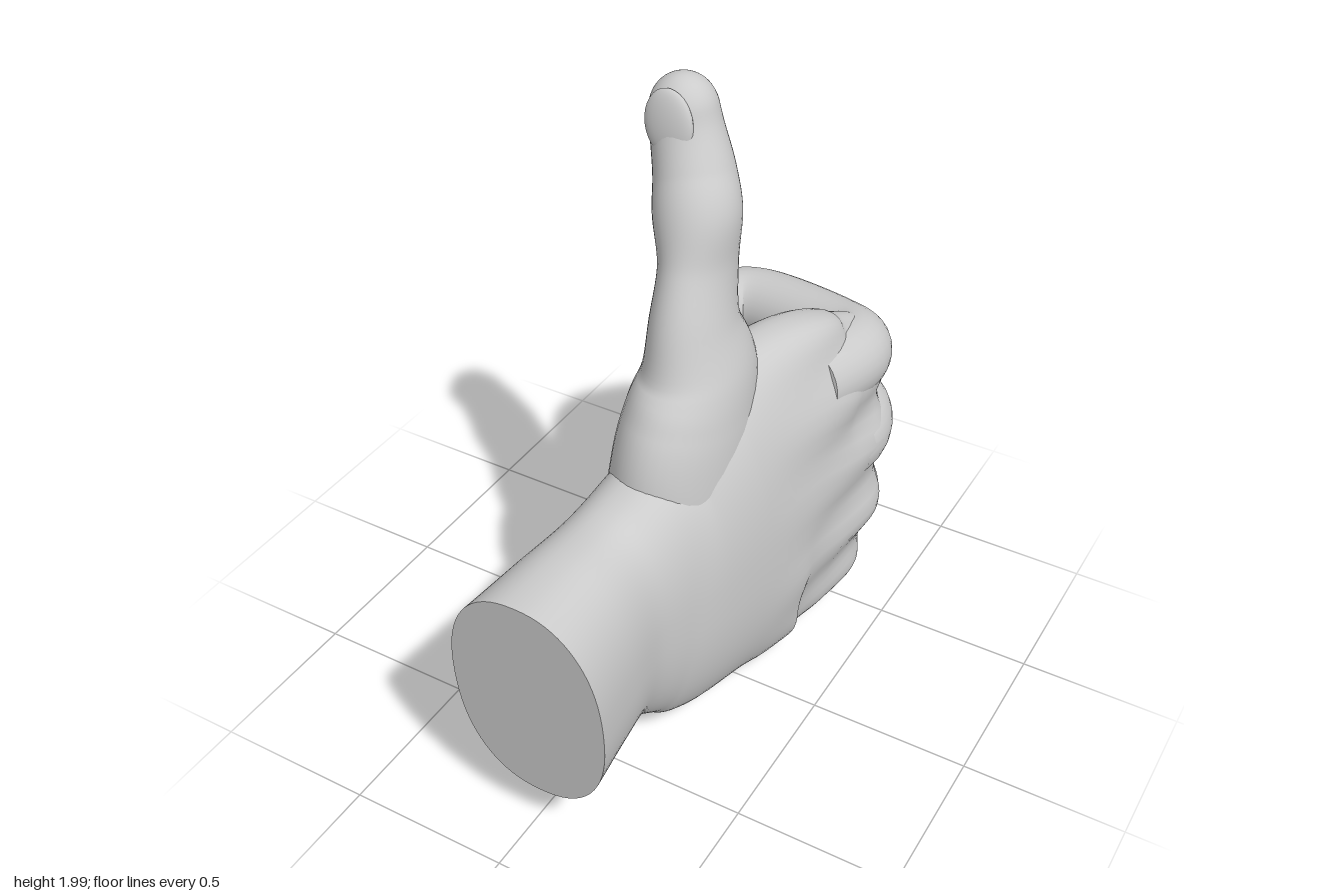
import * as THREE from 'three';

const skin = new THREE.MeshStandardMaterial({ color: 0xcccccc });
const Y = new THREE.Vector3(0, 1, 0);
const Z = new THREE.Vector3(0, 0, 1);

// Smooth interpolation through rows of numbers
function sampleRows(rows, t) {
  const f = t * (rows.length - 1);
  const i = Math.min(Math.floor(f), rows.length - 2);
  const s = f - i;
  const at = (k) => rows[Math.min(Math.max(k, 0), rows.length - 1)];
  return rows[i].map((p1, c) => {
    const p0 = at(i - 1)[c], p2 = at(i + 1)[c], p3 = at(i + 2)[c];
    return 0.5 * (2 * p1 + (p2 - p0) * s + (2 * p0 - 5 * p1 + 4 * p2 - p3) * s * s
      + (3 * p1 - p0 - 3 * p2 + p3) * s * s * s);
  });
}

// Skin over elliptical sections [x, y, z, halfU, halfV]: flat start, rounded end
function loft(name, rows, ref, { steps = 70, sides = 40, power = 1, deform } = {}) {
  const rings = [];
  for (let i = 0; i <= steps; i++) {
    const s = i / steps;
    const r = sampleRows(rows, 1 - Math.pow(1 - s, 1.5));
    rings.push({ p: new THREE.Vector3(r[0], r[1], r[2]), a: r[3], b: r[4] });
  }
  const verts = [], index = [];
  let toEnd = 0;
  for (let i = steps; i >= 0; i--) {
    if (i < steps) toEnd += rings[i].p.distanceTo(rings[i + 1].p);
    rings[i].toEnd = toEnd;
  }
  rings.forEach(({ p, a, b, toEnd: d }, i) => {
    const t = rings[Math.min(i + 1, steps)].p.clone().sub(rings[Math.max(i - 1, 0)].p).normalize();
    const u = new THREE.Vector3().crossVectors(t, ref).normalize();
    const v = new THREE.Vector3().crossVectors(u, t);
    const k = Math.max(0, 1 - d / Math.min(a, b));
    const round = Math.max(Math.sqrt(1 - k * k), 0.001);
    for (let j = 0; j < sides; j++) {
      const th = (j / sides) * Math.PI * 2, c = Math.cos(th), n = Math.sin(th);
      const q = p.clone()
        .addScaledVector(u, a * round * Math.sign(c) * Math.pow(Math.abs(c), power))
        .addScaledVector(v, b * round * Math.sign(n) * Math.pow(Math.abs(n), power));
      if (deform) deform(q, p);
      verts.push(q.x, q.y, q.z);
    }
  });
  for (let i = 0; i < steps; i++) {
    for (let j = 0; j < sides; j++) {
      const k = (j + 1) % sides, o = i * sides, e = o + sides;
      index.push(o + j, e + j, o + k, o + k, e + j, e + k);
    }
  }
  // Flat cap on its own vertices, so its edge stays sharp
  const cap = verts.length / 3;
  verts.push(...verts.slice(0, sides * 3));
  for (let j = 1; j < sides - 1; j++) index.push(cap, cap + j, cap + j + 1);

  const geo = new THREE.BufferGeometry();
  geo.setAttribute('position', new THREE.Float32BufferAttribute(verts, 3));
  geo.setIndex(index);
  geo.computeVertexNormals();
  const mesh = new THREE.Mesh(geo, skin);
  mesh.name = name;
  return mesh;
}

// Thin oval plate lying on a fingertip
function nail(name, center, along, normal, width, length) {
  const mesh = new THREE.Mesh(new THREE.SphereGeometry(1, 24, 16), skin);
  const side = new THREE.Vector3().crossVectors(along, normal).normalize();
  const out = new THREE.Vector3().crossVectors(side, along).normalize();
  mesh.quaternion.setFromRotationMatrix(new THREE.Matrix4().makeBasis(side, along, out));
  mesh.scale.set(width, length, 0.024);
  mesh.position.copy(center);
  mesh.name = name;
  return mesh;
}

// Curled finger from rows [x, y, z, radius], with its nail
function finger(name, path) {
  const group = new THREE.Group();
  group.name = name;
  group.add(loft(name + 'Skin', path.map((r) => [...r, r[3]]), Y, { sides: 28 }));
  const [prev, last] = path.slice(-2);
  const end = new THREE.Vector3(...last.slice(0, 3));
  const dir = end.clone().sub(new THREE.Vector3(...prev.slice(0, 3))).normalize();
  const out = new THREE.Vector3(-dir.z, 0, dir.x).normalize();
  const r = last[3];
  const center = end.clone().addScaledVector(dir, -0.095).addScaledVector(out, r - 0.012);
  group.add(nail(name + 'Nail', center, dir, out, r * 0.68, 0.08));
  return group;
}

export function createModel() {
  const hand = new THREE.Group();
  hand.name = 'thumbsUpHand';

  // Wrist and palm, from the slanted wrist cut to the knuckles
  const palm = [
    [0.05, 0.573, 0.88, 0.24, 0.373],
    [0.05, 0.575, 0.68, 0.215, 0.368],
    [0.055, 0.575, 0.5, 0.195, 0.37],
    [0.08, 0.57, 0.35, 0.2, 0.44],
    [0.11, 0.56, 0.2, 0.215, 0.5],
    [0.14, 0.585, 0, 0.23, 0.575],
    [0.195, 0.615, -0.2, 0.205, 0.6],
    [0.25, 0.585, -0.4, 0.165, 0.55],
    [0.28, 0.565, -0.56, 0.14, 0.5],
    [0.275, 0.56, -0.68, 0.12, 0.44],
  ];
  hand.add(loft('wristAndPalm', palm, Y, {
    steps: 90, sides: 72, power: 0.87,
    deform(q, c) {
      // Knuckle ridges fade in along the back of the hand
      const ridge = THREE.MathUtils.smoothstep(-q.z, -0.1, 0.6);
      if (q.x > c.x) {
        q.x += 0.02 * ridge * Math.cos(((q.y - 0.67) / 0.27) * Math.PI * 2)
          * Math.min(1, (q.x - c.x) / 0.06);
      }
      q.z += (q.y - 0.573) * 0.08 * THREE.MathUtils.smoothstep(q.z, 0.55, 0.86);
    },
  }));

  // Thumb, flaring down into the ball of the palm
  const thumb = new THREE.Group();
  thumb.name = 'thumb';
  thumb.add(loft('thumbSkin', [
    [0.1, 0.55, 0.16, 0.17, 0.2],
    [0.09, 0.78, 0.15, 0.185, 0.25],
    [0.095, 0.95, 0.12, 0.18, 0.27],
    [0.1, 1.08, 0.085, 0.17, 0.255],
    [0.105, 1.2, 0.06, 0.15, 0.215],
    [0.09, 1.35, 0.055, 0.115, 0.16],
    [0.075, 1.5, 0.01, 0.1, 0.14],
    [0.055, 1.64, -0.02, 0.12, 0.13],
    [0.025, 1.74, -0.055, 0.112, 0.118],
    [-0.015, 1.86, -0.08, 0.1, 0.1],
    [-0.042, 2.0, -0.09, 0.088, 0.085],
  ], Z, { steps: 90 }));
  thumb.add(nail('thumbNail', new THREE.Vector3(-0.025, 1.89, -0.005),
    new THREE.Vector3(-0.18, 1, -0.14).normalize(), Z, 0.074, 0.095));
  hand.add(thumb);

  // Four curled fingers
  hand.add(finger('indexFinger', [
    [0.26, 0.98, -0.3, 0.13], [0.3, 0.955, -0.55, 0.125], [0.2, 0.935, -0.645, 0.12],
    [-0.08, 0.915, -0.72, 0.112], [-0.2, 0.91, -0.67, 0.108], [-0.27, 0.91, -0.52, 0.103],
    [-0.11, 0.91, -0.25, 0.09],
  ]));
  hand.add(finger('middleFinger', [
    [0.27, 0.67, -0.35, 0.14], [0.3, 0.66, -0.57, 0.137], [0.2, 0.66, -0.7, 0.135],
    [-0.1, 0.65, -0.775, 0.132], [-0.23, 0.66, -0.7, 0.118], [-0.295, 0.67, -0.53, 0.103],
    [-0.13, 0.67, -0.27, 0.09],
  ]));
  hand.add(finger('ringFinger', [
    [0.26, 0.4, -0.35, 0.13], [0.29, 0.4, -0.55, 0.13], [0.18, 0.4, -0.68, 0.125],
    [-0.1, 0.41, -0.758, 0.121], [-0.25, 0.44, -0.69, 0.11], [-0.335, 0.465, -0.54, 0.102],
    [-0.19, 0.48, -0.28, 0.09],
  ]));
  hand.add(finger('littleFinger', [
    [0.2, 0.17, -0.3, 0.12], [0.24, 0.16, -0.5, 0.108], [0.14, 0.16, -0.6, 0.1],
    [-0.08, 0.175, -0.65, 0.1], [-0.18, 0.2, -0.58, 0.095], [-0.23, 0.24, -0.45, 0.088],
    [-0.12, 0.29, -0.25, 0.078],
  ]));
  return hand;
}
